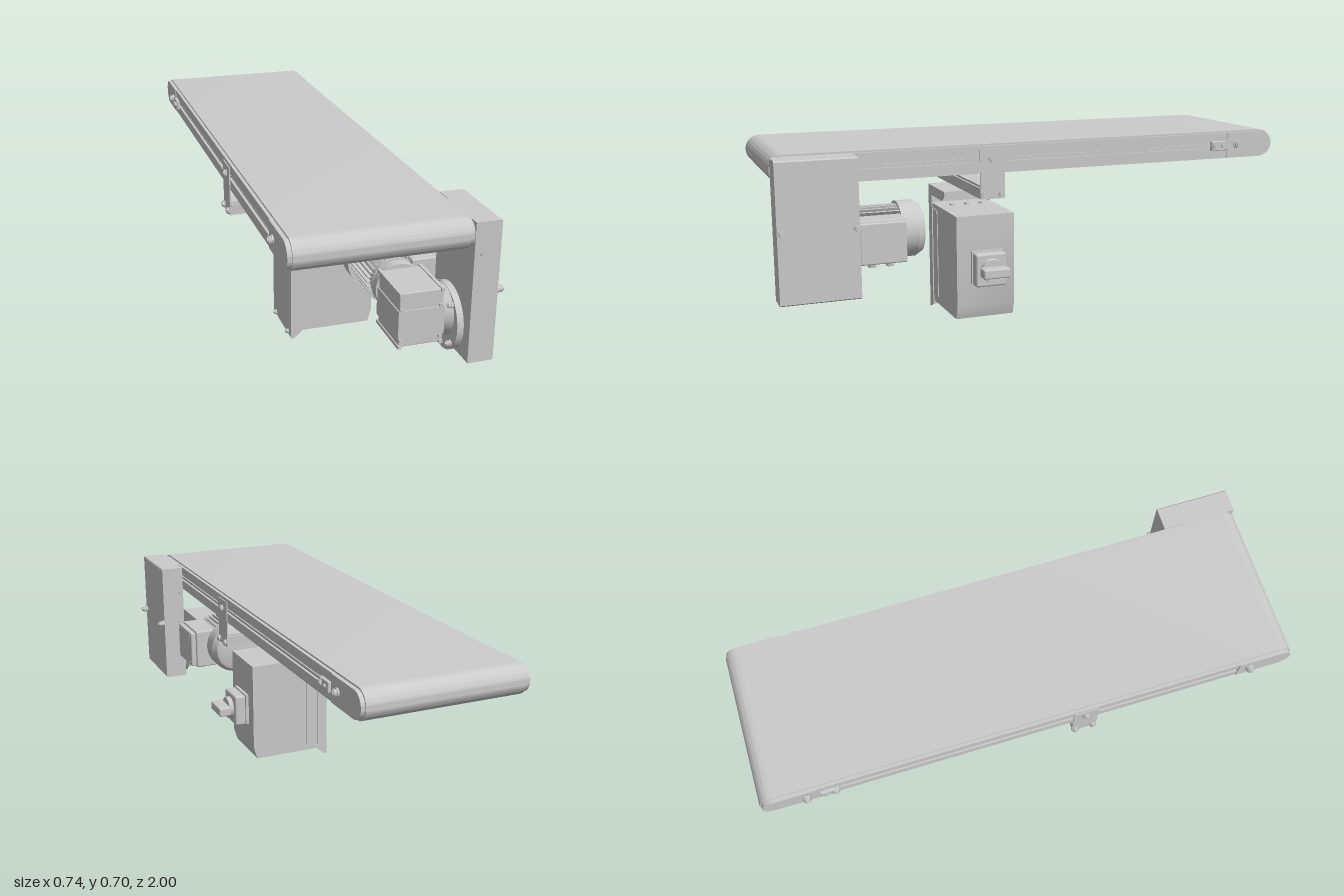
import * as THREE from 'three';
import { toCreasedNormals } from 'three/addons/utils/BufferGeometryUtils.js';
import { RoundedBoxGeometry } from 'three/addons/geometries/RoundedBoxGeometry.js';

const grey = new THREE.MeshStandardMaterial({ color: 0xcccccc });

function add(parent, name, geo, x = 0, y = 0, z = 0) {
  const m = new THREE.Mesh(geo, grey);
  m.name = name;
  m.position.set(x, y, z);
  parent.add(m);
  return m;
}

// Box from its limits on each axis
function box(parent, name, x0, x1, y0, y1, z0, z1, r = 0) {
  const [w, h, d] = [x1 - x0, y1 - y0, z1 - z0];
  const geo = r ? new RoundedBoxGeometry(w, h, d, 2, r) : new THREE.BoxGeometry(w, h, d);
  return add(parent, name, geo, (x0 + x1) / 2, (y0 + y1) / 2, (z0 + z1) / 2);
}

// Cylinder along x or z between two limits; a, b are the other two coordinates
function cylX(parent, name, x0, x1, y, z, r, n = 32, r2 = r) {
  const geo = new THREE.CylinderGeometry(r2, r, x1 - x0, n).rotateZ(-Math.PI / 2);
  return add(parent, name, geo, (x0 + x1) / 2, y, z);
}
function cylZ(parent, name, z0, z1, x, y, r, n = 40, r2 = r) {
  const geo = new THREE.CylinderGeometry(r2, r, z1 - z0, n).rotateX(Math.PI / 2);
  return add(parent, name, geo, x, y, (z0 + z1) / 2);
}

const poly = (pts) => new THREE.Shape(pts.map(([x, y]) => new THREE.Vector2(x, y)));
const extrude = (shape, depth) => toCreasedNormals(
  new THREE.ExtrudeGeometry(shape, { depth, bevelEnabled: false, curveSegments: 20 }), 0.6);

// x-y outline pushed along z
const alongZ = (parent, name, shape, z0, z1) => add(parent, name, extrude(shape, z1 - z0), 0, 0, z0);
// z-y outline pushed along x
const alongX = (parent, name, shape, x0, x1) =>
  add(parent, name, extrude(shape, x1 - x0).rotateY(-Math.PI / 2), x1);

// Hex bolt whose head points along sign * x
function bolt(parent, x, y, z, sign, r = 0.011, len = 0.016) {
  const g = new THREE.Group();
  g.name = 'bolt';
  cylX(g, 'washer', 0, len * 0.3, 0, 0, r * 1.15, 20);
  cylX(g, 'boltHead', len * 0.3, len * 0.8, 0, 0, r, 6);
  cylX(g, 'boltTip', len * 0.8, len, 0, 0, r * 0.6, 16);
  g.position.set(x, y, z);
  if (sign < 0) g.rotation.y = Math.PI;
  parent.add(g);
}

// Closed loop round two rollers
function stadium(half, r) {
  const s = new THREE.Shape();
  s.absarc(half - r, 0, r, -Math.PI / 2, Math.PI / 2);
  s.absarc(-half + r, 0, r, Math.PI / 2, Math.PI * 1.5);
  s.closePath();
  return s;
}

// End plate with one round end, pointing along dir * z
function endPlateShape(dir) {
  const s = new THREE.Shape(), r = 0.048;
  s.moveTo(dir * 0.79, -r);
  s.lineTo(dir * (0.995 - r), -r);
  s.absarc(dir * (0.995 - r), 0, r, -Math.PI / 2, Math.PI / 2, dir < 0);
  s.lineTo(dir * 0.79, r);
  s.closePath();
  return s;
}

function buildConveyor() {
  const g = new THREE.Group();
  g.name = 'conveyor';
  alongX(g, 'belt', stadium(1, 0.054), -0.288, 0.288);
  for (const side of [-1, 1]) {
    const span = (a, b) => (side > 0 ? [a, b] : [-b, -a]);
    const frame = new THREE.Group();
    frame.name = side > 0 ? 'leftFrame' : 'rightFrame';
    g.add(frame);
    // slotted side rail
    box(frame, 'railWeb', ...span(0.286, 0.291), -0.045, 0.045, -0.8, 0.8);
    for (const [y0, y1] of [[-0.048, -0.01], [0.012, 0.048]])
      box(frame, 'railFlange', ...span(0.287, 0.3), y0, y1, -0.79, 0.79);
    box(frame, 'slotLip', ...span(0.288, 0.296), 0.0, 0.004, -0.79, 0.79);
    // end plates and roller axles
    for (const dir of [-1, 1]) {
      alongX(frame, 'endPlate', endPlateShape(dir), ...span(0.288, 0.303));
      bolt(frame, side * 0.303, 0, dir * 0.835, side, 0.014, 0.02);
    }
    // belt tensioner
    box(frame, 'tensioner', ...span(0.298, 0.312), -0.02, 0.018, -0.785, -0.715, 0.003);
    bolt(frame, side * 0.311, 0, -0.73, side, 0.012, 0.01);
    bolt(frame, side * 0.311, 0, -0.765, side, 0.007, 0.008);
    // hanger plate for the cross bar
    box(frame, 'hangerPlate', ...span(0.299, 0.304), -0.147, 0.036, 0.155, 0.25);
    bolt(frame, side * 0.304, 0, 0.203, side, 0.013, 0.012);
    for (const z of [0.168, 0.237]) bolt(frame, side * 0.302, -0.132, z, side, 0.012, 0.014);
  }
  // cross bar under the belt
  box(g, 'crossBar', -0.298, 0.3, -0.147, -0.108, 0.158, 0.247);
  box(g, 'crossBarTop', -0.298, 0.3, -0.108, -0.1, 0.165, 0.24);
  g.position.set(-0.047, 0.647, 0);
  return g;
}

function buildDrive() {
  const g = new THREE.Group();
  g.name = 'drive';
  // belt guard with a small through hole
  const guard = poly([[0.255, 0.2], [0.341, 0.2], [0.345, 0.204], [0.345, 0.691], [0.341, 0.695], [0.255, 0.695]]);
  const hole = new THREE.Path();
  hole.absarc(0.276, 0.581, 0.005, 0, Math.PI * 2);
  guard.holes.push(hole);
  alongZ(g, 'driveGuard', guard, 0.717, 0.998);
  for (const z of [0.727, 0.985]) bolt(g, 0.345, 0.45, z, 1, 0.011, 0.026);

  // gearbox with notched corners and edge bosses
  const [x0, x1, y0, y1, c] = [0.037, 0.194, 0.25, 0.45, 0.012];
  box(g, 'gearbox', x0 + 0.004, x1, y0 + 0.004, y1 - 0.004, 0.74, 0.925, 0.004);
  box(g, 'gearboxCore', x0, x1 + 0.003, y0 + 0.035, y1 - 0.065, 0.735, 0.93);
  for (const [a, b] of [[x0, y0], [x1 - c, y0], [x0, y1 - c], [x1 - c, y1 - c]])
    box(g, 'cornerBoss', a, a + c, b, b + c, 0.735, 0.932);
  for (const y of [y0 + 0.027, y1 - 0.062])
    for (const x of [x0 + 0.01, x1 - 0.01]) cylZ(g, 'gearboxBolt', 0.925, 0.934, x, y, 0.007, 16);
  cylZ(g, 'motorFlange', 0.7, 0.74, 0.115, 0.375, 0.085);

  // output flange towards the guard
  cylX(g, 'outputNeck', 0.19, 0.235, 0.33, 0.84, 0.075, 40, 0.09);
  cylX(g, 'outputFlange', 0.232, 0.256, 0.303, 0.84, 0.117, 40);
  for (let i = 0; i < 4; i++) {
    const a = Math.PI / 4 + i * Math.PI / 2;
    bolt(g, 0.232, 0.303 + 0.1 * Math.sin(a), 0.84 + 0.1 * Math.cos(a), -1, 0.01, 0.02);
  }

  // finned motor
  const [mx, my] = [0.11, 0.385];
  cylZ(g, 'motorBody', 0.52, 0.705, mx, my, 0.08);
  for (let i = 0; i < 32; i++) {
    const fin = new THREE.BoxGeometry(0.022, 0.004, 0.17);
    fin.translate(0.084, 0, 0).rotateZ((i / 32) * Math.PI * 2);
    add(g, 'coolingFin', fin, mx, my, 0.61);
  }
  const cover = [[0, 0.44], [0.082, 0.44], [0.09, 0.443], [0.105, 0.468], [0.105, 0.53], [0.098, 0.53], [0.078, 0.524]];
  const lathe = new THREE.LatheGeometry(cover.map(([r, z]) => new THREE.Vector2(r, -z)).reverse(), 40);
  add(g, 'fanCover', toCreasedNormals(lathe.rotateX(-Math.PI / 2), 0.5), mx, my, 0);

  // terminal box on the motor side
  box(g, 'terminalBox', 0.17, 0.262, 0.295, 0.455, 0.53, 0.71, 0.006);
  box(g, 'terminalLid', 0.262, 0.285, 0.3, 0.45, 0.535, 0.705, 0.006);
  for (const y of [0.315, 0.435])
    for (const z of [0.55, 0.69]) cylX(g, 'lidScrew', 0.283, 0.287, y, z, 0.006, 12);
  for (const z of [0.585, 0.65]) {
    const gland = new THREE.CylinderGeometry(0.015, 0.015, 0.02, 6);
    add(g, 'cableGland', gland, 0.225, 0.288, z);
  }
  return g;
}

function buildControl() {
  const g = new THREE.Group();
  g.name = 'controlUnit';
  const [z0, z1] = [0.08, 0.325];
  // folded mounting bracket
  box(g, 'bracketBack', -0.145, -0.139, 0.003, 0.5, z0, z1);
  box(g, 'bracketTop', -0.145, 0.055, 0.493, 0.499, z0, z1);
  const flange = poly([[-0.145, 0], [-0.135, 0], [-0.105, 0.025], [-0.105, 0.46], [0.025, 0.46],
    [0.055, 0.49], [0.055, 0.499], [-0.145, 0.499]]);
  for (const z of [z0, z1 - 0.004]) alongZ(g, 'bracketFlange', flange, z, z + 0.004);
  for (const y of [0.015, 0.433])
    for (const z of [0.12, 0.285]) bolt(g, -0.145, y, z, -1, 0.009, 0.012);

  // switch housing, its lower front corner cut back
  const housing = poly([[-0.138, 0.027], [0.163, 0.027], [0.178, 0.075], [0.178, 0.425], [-0.138, 0.425]]);
  alongZ(g, 'housing', housing, 0.088, 0.317);
  // raised side panels
  const panel = poly([[-0.105, 0.038], [-0.063, 0.046], [-0.055, 0.056], [-0.055, 0.392], [-0.063, 0.402], [-0.105, 0.41]]);
  for (const z of [0.085, 0.316]) alongZ(g, 'sidePanel', panel, z, z + 0.004);
  for (const y of [0.025, 0.427])
    for (const z of [0.14, 0.2, 0.26])
      add(g, 'cableEntry', new THREE.CylinderGeometry(0.009, 0.009, 0.01, 16), -0.047, y, z);

  // rotary switch
  box(g, 'switchPlate', 0.177, 0.19, 0.165, 0.29, 0.138, 0.262);
  box(g, 'switchBase', 0.19, 0.235, 0.162, 0.288, 0.14, 0.26, 0.008);
  cylX(g, 'switchCollar', 0.235, 0.252, 0.226, 0.2, 0.045, 32, 0.042);
  box(g, 'switchHandle', 0.25, 0.3, 0.208, 0.244, 0.148, 0.252, 0.006);
  return g;
}

export function createModel() {
  const model = new THREE.Group();
  model.name = 'beltConveyor';
  model.add(buildConveyor(), buildDrive(), buildControl());
  return model;
}
